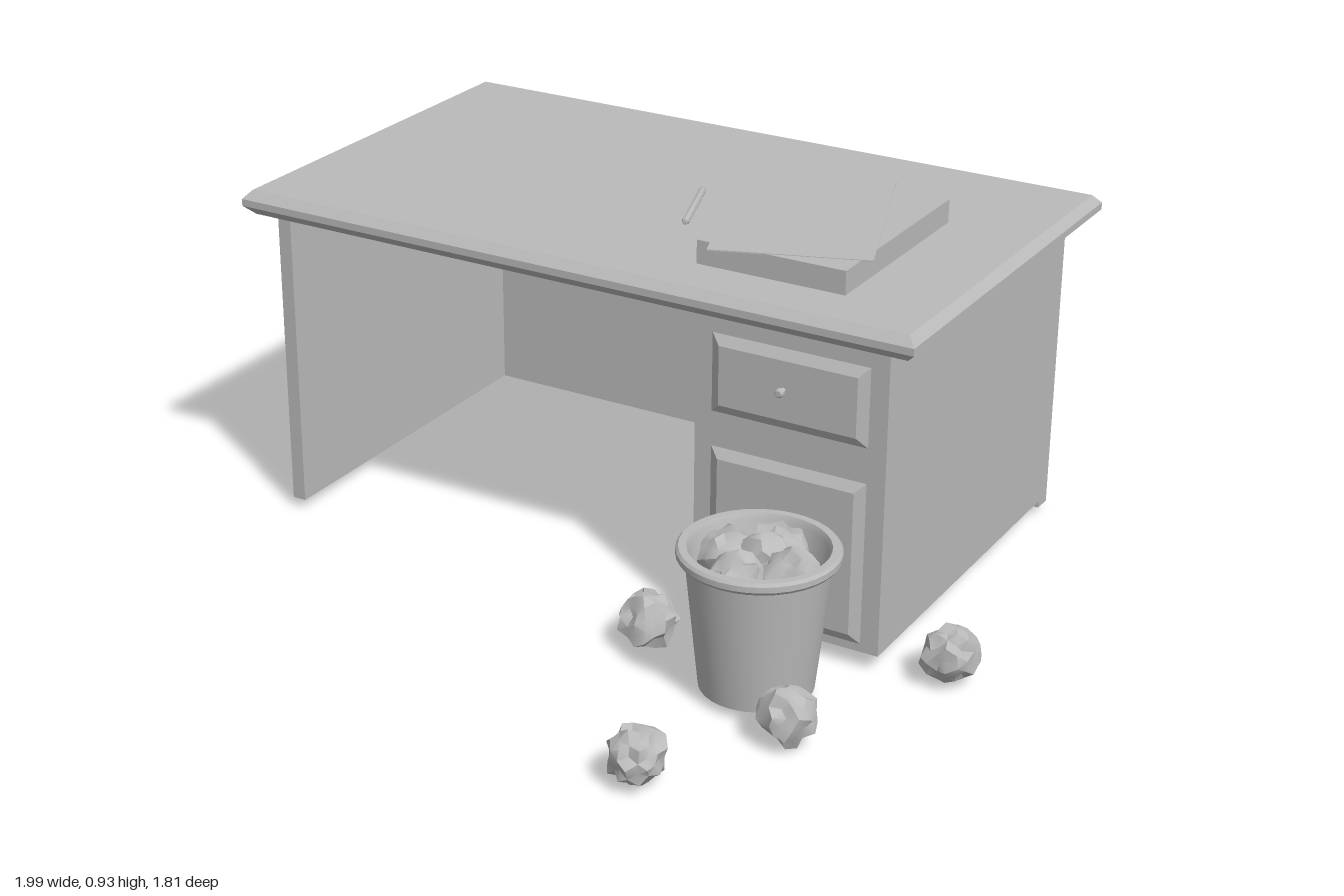
import * as THREE from 'three';
import { toCreasedNormals } from 'three/addons/utils/BufferGeometryUtils.js';

const grey = new THREE.MeshStandardMaterial({ color: 0xbababa, side: THREE.DoubleSide });
grey.name = 'plain grey';

function add(parent, name, geometry, x = 0, y = 0, z = 0) {
  const mesh = new THREE.Mesh(geometry, grey);
  mesh.name = name;
  mesh.position.set(x, y, z);
  parent.add(mesh);
  return mesh;
}

// Box from stacked rectangles: each layer is [height, inset]
function steppedBox(w, d, layers) {
  const ring = ([y, i]) => [[-1, 1], [1, 1], [1, -1], [-1, -1]]
    .map(([sx, sz]) => [sx * (w / 2 - i), y, sz * (d / 2 - i)]);
  const rings = layers.map(ring);
  const pos = [];
  const quad = (a, b, c, e) => pos.push(...a, ...b, ...c, ...a, ...c, ...e);
  for (let k = 0; k + 1 < rings.length; k++) {
    for (let s = 0; s < 4; s++) {
      const t = (s + 1) % 4;
      quad(rings[k][s], rings[k][t], rings[k + 1][t], rings[k + 1][s]);
    }
  }
  const top = rings[rings.length - 1], bottom = rings[0];
  quad(top[0], top[1], top[2], top[3]);
  quad(bottom[3], bottom[2], bottom[1], bottom[0]);
  const geo = new THREE.BufferGeometry();
  geo.setAttribute('position', new THREE.Float32BufferAttribute(pos, 3));
  geo.computeVertexNormals();
  return geo;
}

// Box given by its limits
function panel(parent, name, x0, x1, y0, y1, z0, z1) {
  return add(parent, name, new THREE.BoxGeometry(x1 - x0, y1 - y0, z1 - z0),
    (x0 + x1) / 2, (y0 + y1) / 2, (z0 + z1) / 2);
}

function lathe(points, segments, crease = 0.5) {
  const geo = new THREE.LatheGeometry(points.map(p => new THREE.Vector2(...p)), segments);
  return toCreasedNormals(geo, crease);
}

// Icosphere with every corner pushed in or out by a hash of its position
function crumpledBall(seed) {
  const geo = new THREE.IcosahedronGeometry(1, 2);
  const p = geo.attributes.position, v = new THREE.Vector3();
  const hash = (a, b, c) => {
    const n = Math.sin(a * 12.9898 + b * 78.233 + c * 37.719 + seed * 4.1) * 43758.5453;
    return n - Math.floor(n);
  };
  for (let i = 0; i < p.count; i++) {
    v.fromBufferAttribute(p, i).normalize();
    const [a, b, c] = [v.x, v.y, v.z].map(n => Math.round(n * 100) / 100 + 0);
    const wave = Math.sin(a * 5 + seed) * Math.sin(b * 6 + seed * 2) * Math.sin(c * 5 + 1);
    v.multiplyScalar(0.066 + 0.012 * wave + 0.018 * (hash(a, b, c) - 0.5));
    p.setXYZ(i, v.x, v.y, v.z);
  }
  return toCreasedNormals(geo, 0.6);
}

function createDesk() {
  const desk = new THREE.Group();
  desk.name = 'desk';
  add(desk, 'desktop', steppedBox(1.84, 1.08,
    [[0.82, 0.024], [0.844, 0], [0.862, 0], [0.884, 0.02]]), -0.08, 0, -0.365);
  panel(desk, 'leftEndPanel', -0.925, -0.888, 0.037, 0.825, -0.82, 0.13);
  panel(desk, 'backPanel', -0.925, 0.765, 0.037, 0.825, -0.865, -0.815);
  add(desk, 'drawerPedestal', steppedBox(0.492, 0.945,
    [[0.037, 0.04], [0.056, 0], [0.825, 0]]), 0.519, 0, -0.3425);

  // Raised drawer fronts with bevelled edges, and their knobs
  const knob = lathe([[0, 0], [0.006, 0], [0.006, 0.016], [0.011, 0.018], [0.011, 0.026],
    [0.007, 0.03], [0, 0.03]], 12);
  for (const [name, y0, y1, kx, ky] of [
    ['upperDrawer', 0.575, 0.775, 0.51, 0.678],
    ['lowerDrawer', 0.075, 0.49, 0.38, 0.32],
  ]) {
    const front = add(desk, name + 'Front', steppedBox(0.405, y1 - y0,
      [[0, 0], [0.016, 0.026]]), 0.518, (y0 + y1) / 2, 0.129);
    front.rotation.x = Math.PI / 2;
    add(desk, name + 'Knob', knob, kx, ky, 0.142).rotation.x = Math.PI / 2;
  }
  return desk;
}

function createDeskItems() {
  const items = new THREE.Group();
  items.name = 'deskItems';
  // Paper pile with a turned sheet on top
  panel(items, 'paperStack', 0.213, 0.597, 0.88, 0.943, -0.525, 0.024);
  const sheet = panel(items, 'turnedSheet', -0.191, 0.191, 0.941, 0.9445, -0.271, 0.271);
  sheet.position.x = 0.35;
  sheet.position.z = -0.25;
  sheet.rotation.y = 0.354;

  // Pen lying on the desk
  const pen = add(items, 'pen', lathe([[0, -0.128], [0.006, -0.122], [0.01, -0.1],
    [0.01, 0.11], [0.007, 0.124], [0, 0.126]], 8), 0.027, 0.894, -0.293);
  pen.rotation.set(Math.PI / 2, 0, -0.333);
  return items;
}

function createBin() {
  const bin = new THREE.Group();
  bin.name = 'wasteBin';
  bin.position.set(0.565, 0, 0.348);
  // Tapered wall, rolled rim, inner wall and floor in one profile
  add(bin, 'binBody', lathe([[0, 0.037], [0.134, 0.037], [0.168, 0.36], [0.182, 0.36],
    [0.188, 0.368], [0.188, 0.382], [0.182, 0.389], [0.164, 0.389], [0.157, 0.375],
    [0.126, 0.048], [0, 0.048]], 36));
  // Crumpled paper filling the bin, in three layers
  [[0.085, 0.06, 0.4], [0.21, 0.07, 1.1], [0.335, 0.085, 0.1]].forEach(([y, r, turn], layer) => {
    for (let k = 0; k < 4; k++) {
      const a = turn + k * Math.PI / 2;
      const ball = add(bin, 'binPaperBall', crumpledBall(layer * 4 + k + 10),
        r * Math.cos(a), y, r * Math.sin(a));
      ball.rotation.set(k, layer, k * 2);
    }
  });
  add(bin, 'binPaperBall', crumpledBall(31), 0.01, 0.342, -0.015);
  return bin;
}

export function createModel() {
  const model = new THREE.Group();
  model.name = 'deskWithWasteBin';
  model.add(createDesk(), createDeskItems(), createBin());
  // Crumpled paper on the floor
  [[0.25, 0.295], [0.925, 0.08], [0.73, 0.512], [0.53, 0.825]].forEach(([x, z], i) => {
    add(model, 'floorPaperBall', crumpledBall(i + 1), x, 0.088, z).rotation.y = i;
  });
  return model;
}
